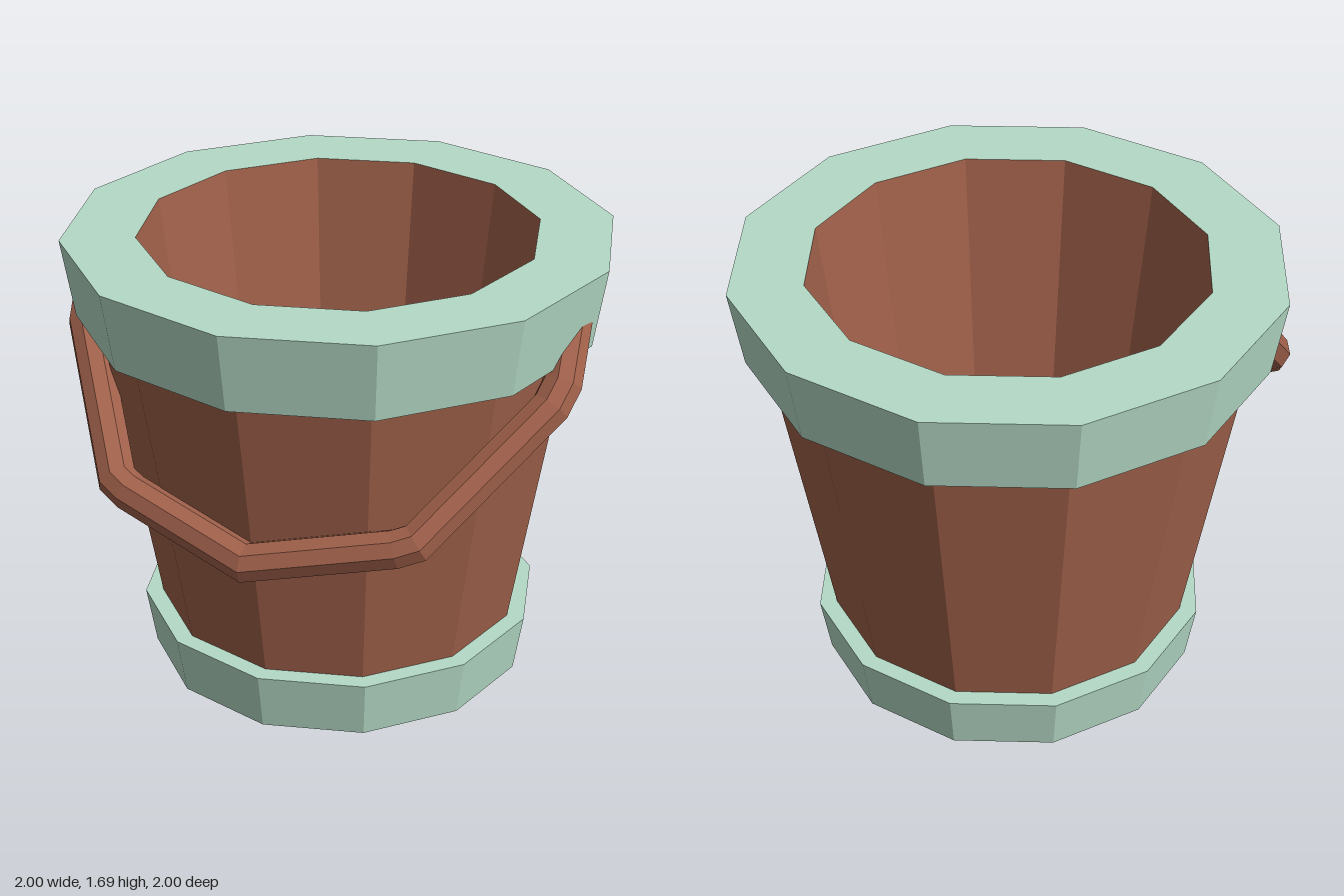
import * as THREE from 'three';

const SIDES = 12;

// Faceted ring turned from a [radius, height] profile
function turned(name, profile, material) {
  const points = profile.map(([r, y]) => new THREE.Vector2(r, y));
  const mesh = new THREE.Mesh(new THREE.LatheGeometry(points, SIDES), material);
  mesh.name = name;
  return mesh;
}

// Sweep an octagon along a path lying in the plane with the given normal, mitring the corners
function sweep(path, normal, radius, sides = 8) {
  const positions = [], index = [];
  path.forEach((p, i) => {
    const before = p.clone().sub(path[Math.max(i - 1, 0)]).normalize();
    const after = path[Math.min(i + 1, path.length - 1)].clone().sub(p).normalize();
    const tangent = before.clone().add(after).normalize();
    const miter = 1 / tangent.dot(i === 0 ? after : before.lengthSq() ? before : after);
    const across = normal.clone().cross(tangent).multiplyScalar(miter);
    for (let j = 0; j < sides; j++) {
      const a = (j / sides) * Math.PI * 2;
      const v = p.clone()
        .addScaledVector(normal, radius * Math.cos(a))
        .addScaledVector(across, radius * Math.sin(a));
      positions.push(v.x, v.y, v.z);
      if (i < path.length - 1) {
        const A = i * sides + j, B = i * sides + (j + 1) % sides;
        index.push(A, A + sides, B, B, A + sides, B + sides);
      }
    }
  });
  const geometry = new THREE.BufferGeometry();
  geometry.setAttribute('position', new THREE.Float32BufferAttribute(positions, 3));
  geometry.setIndex(index);
  geometry.computeVertexNormals();
  return geometry;
}

export function createModel() {
  const brown = new THREE.MeshStandardMaterial({ color: 0xa1614b, flatShading: true });
  brown.name = 'clay brown';
  const green = new THREE.MeshStandardMaterial({ color: 0xb5dbc7, flatShading: true });
  green.name = 'pale green';

  const group = new THREE.Group();
  group.name = 'bucket';

  // Tapered shell: outer wall, hidden shoulder under the rim, inner wall, floor
  group.add(turned('body', [
    [0.66, 0.05], [0.88, 1.4], [0.9, 1.5], [0.73, 1.69], [0.545, 0.23], [0, 0.23],
  ], brown));

  // Bottom band with a closed underside
  group.add(turned('base', [[0, 0], [0.72, 0], [0.755, 0.225], [0.67, 0.225]], green));

  // Wide rim
  group.add(turned('rim', [[0.86, 1.4], [0.955, 1.4], [1, 1.69], [0.73, 1.69]], green));

  // Hanging handle, bent in a plane that leans forward; its ends sink into the rim
  const normal = new THREE.Vector3(0, 0.725, 0.69).normalize();
  const half = [[0.88, 1.58], [0.917, 1.34], [0.9, 1.28], [0.575, 0.89], [0.51, 0.865]];
  const outline = [
    ...half.map(([x, y]) => [-x, y]),
    [0, 0.755],
    ...half.slice().reverse(),
  ];
  const path = outline.map(([x, y]) => new THREE.Vector3(x, y, (1.12 - 0.725 * y) / 0.69));
  const handle = new THREE.Mesh(sweep(path, normal, 0.071), brown);
  handle.name = 'handle';
  group.add(handle);

  return group;
}
